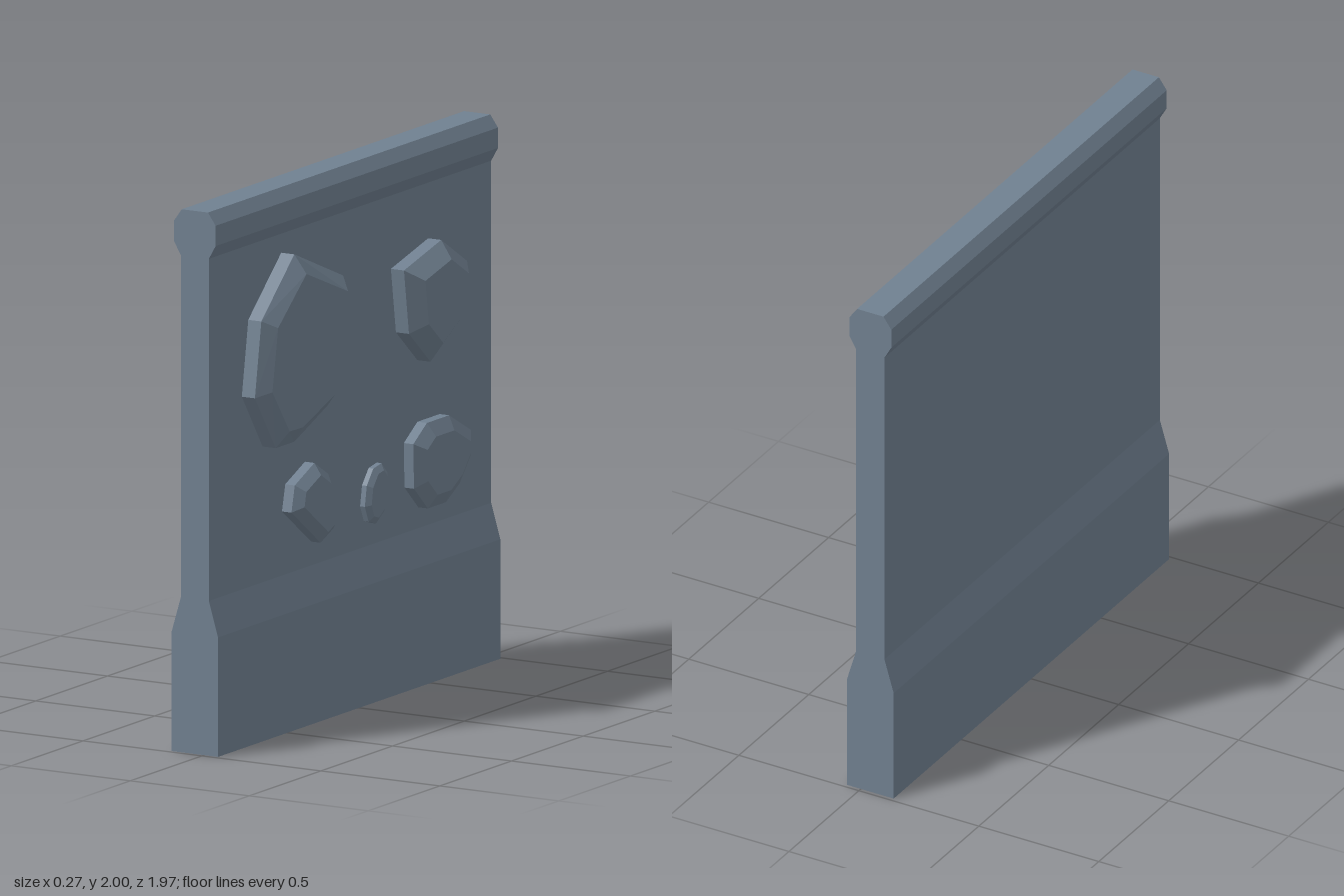
import * as THREE from 'three';

const WALL_X = 0.02; // stone-side surface of the wall panel
const LENGTH = 1.97;

// Move every edge of an outline inward by d
function insetOutline(points, d) {
  return points.map((p, i) => {
    const prev = points.at(i - 1);
    const next = points[(i + 1) % points.length];
    const inward = (a, b) => new THREE.Vector2(a.y - b.y, b.x - a.x).normalize();
    const n1 = inward(prev, p);
    const n2 = inward(p, next);
    return n1.clone().add(n2).multiplyScalar(d / (1 + n1.dot(n2))).add(p);
  });
}

// Upright sides, bevelled rim and a fan-filled front; outline is (z, y)
function stoneGeometry(outline, { mid, front, inset, tilt = 0 }) {
  const rings = [
    outline.map((p) => [WALL_X, p.y, p.x]),
    outline.map((p) => [mid, p.y, p.x]),
    insetOutline(outline, inset).map((p) => [front - tilt * p.x, p.y, p.x]),
  ];
  const n = outline.length;
  const pos = [];
  const tri = (a, b, c) => pos.push(...a, ...b, ...c);
  for (let r = 0; r < 2; r++) {
    for (let i = 0; i < n; i++) {
      const j = (i + 1) % n;
      tri(rings[r][i], rings[r + 1][i], rings[r + 1][j]);
      tri(rings[r][i], rings[r + 1][j], rings[r][j]);
    }
  }
  for (let i = 1; i < n - 1; i++) tri(rings[2][0], rings[2][i + 1], rings[2][i]);
  const geo = new THREE.BufferGeometry();
  geo.setAttribute('position', new THREE.Float32BufferAttribute(pos, 3));
  geo.computeVertexNormals();
  return geo;
}

export function createModel() {
  const model = new THREE.Group();
  model.name = 'stoneWall';
  const stone = new THREE.MeshStandardMaterial({ color: 0x708090 });
  stone.name = 'slateStone';

  function addPart(name, geometry) {
    const mesh = new THREE.Mesh(geometry, stone);
    mesh.name = name;
    model.add(mesh);
  }
  const outlineOf = (...pairs) => pairs.map(([z, y]) => new THREE.Vector2(z, y));

  // Wall section: plinth, panel and chamfered coping, mirrored and run along z
  const half = outlineOf([0.0975, 0], [0.0975, 0.44], [0.059, 0.57], [0.059, 1.83],
    [0.0875, 1.88], [0.0875, 1.955], [0.055, 2]);
  const mirrored = half.map((p) => new THREE.Vector2(-p.x, p.y)).reverse();
  const wall = new THREE.ExtrudeGeometry(new THREE.Shape([...half, ...mirrored]), {
    depth: LENGTH, bevelEnabled: false,
  });
  wall.translate(-0.039, 0, -LENGTH / 2);
  addPart('wall', wall);

  // Large stone, its front leaning out towards the middle of the wall
  addPart('largeStone', stoneGeometry(
    outlineOf([0.48, 1.76], [0.14, 1.62], [0.095, 1.285], [0.25, 1.16],
      [0.48, 1.07], [0.61, 1.07], [0.755, 1.28], [0.71, 1.555]),
    { mid: 0.075, front: 0.137, inset: 0.06, tilt: 0.038 },
  ));

  // Medium stones
  addPart('upperStone', stoneGeometry(
    outlineOf([-0.285, 1.56], [-0.545, 1.625], [-0.725, 1.515],
      [-0.67, 1.305], [-0.47, 1.19], [-0.32, 1.32]),
    { mid: 0.075, front: 0.125, inset: 0.06 },
  ));
  addPart('lowerStone', stoneGeometry(
    outlineOf([0.475, 0.806], [0.452, 0.902], [0.315, 0.96], [0.219, 0.902],
      [0.166, 0.806], [0.182, 0.695], [0.272, 0.658]),
    { mid: 0.06, front: 0.09, inset: 0.037 },
  ));
  addPart('wideStone', stoneGeometry(
    outlineOf([-0.375, 0.902], [-0.47, 0.963], [-0.625, 0.963], [-0.778, 0.881], [-0.778, 0.79],
      [-0.7, 0.7], [-0.603, 0.647], [-0.476, 0.647], [-0.38, 0.737]),
    { mid: 0.06, front: 0.09, inset: 0.05 },
  ));

  // Pebble: a nine-sided leaning oval
  const oval = new THREE.EllipseCurve(-0.153, 0.758, 0.112, 0.08, 0, Math.PI * 2, false, 1.87);
  addPart('pebble', stoneGeometry(
    oval.getPoints(9).slice(0, 9),
    { mid: 0.04, front: 0.055, inset: 0.022 },
  ));
  return model;
}
